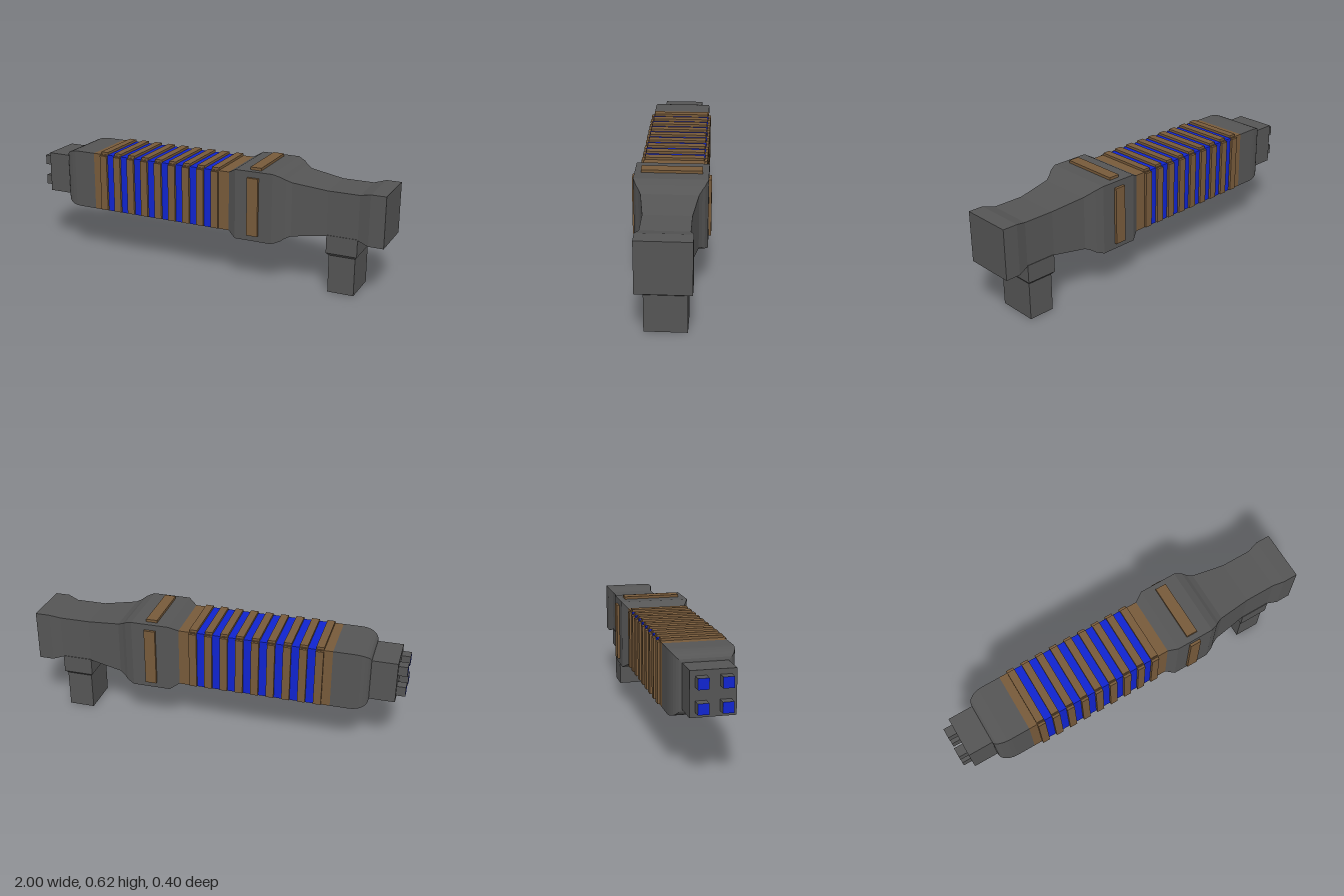
import * as THREE from 'three';

const CY = 0.423; // height of the barrel axis
const mat = (color) => new THREE.MeshStandardMaterial({ color, flatShading: true });

// Rectangular tube along x through sections [x, halfHeight, halfWidth], capped at both ends
function loft(sections) {
  const rings = sections.map(([x, h, w = h]) => [[x, h, w], [x, -h, w], [x, -h, -w], [x, h, -w]]);
  const pos = [];
  const quad = (a, b, c, d) => pos.push(...a, ...b, ...c, ...a, ...c, ...d);
  for (let i = 0; i < rings.length - 1; i++) {
    const a = rings[i], b = rings[i + 1];
    for (let k = 0; k < 4; k++) {
      const n = (k + 1) % 4;
      quad(a[k], a[n], b[n], b[k]);
    }
  }
  const first = rings[0], last = rings[rings.length - 1];
  quad(first[3], first[2], first[1], first[0]);
  quad(...last);
  const geo = new THREE.BufferGeometry();
  geo.setAttribute('position', new THREE.Float32BufferAttribute(pos, 3));
  geo.computeVertexNormals();
  return geo;
}

export function createModel() {
  const model = new THREE.Group();
  const grey = mat(0x555555), brown = mat(0x775a3a), blue = mat(0x1024d0);

  const add = (name, geo, material, x = 0, y = CY, z = 0, parent = model) => {
    const mesh = new THREE.Mesh(geo, material);
    mesh.name = name;
    mesh.position.set(x, y, z);
    parent.add(mesh);
    return mesh;
  };
  const box = (x, y, z) => new THREE.BoxGeometry(x, y, z);

  // Raised strips on the top and both sides of the barrel
  const strips = (name, x, width, surface, out) => {
    const group = new THREE.Group();
    group.name = name;
    model.add(group);
    const t = out - surface + 0.02, c = out - t / 2;
    add('topStrip', box(width, t, 0.307), brown, x, CY + c, 0, group);
    for (const s of [-1, 1]) add('sideStrip', box(width, 0.307, t), brown, x, CY, s * c, group);
  };

  // Nozzle with four blue-tipped prongs
  add('nozzle', box(0.16, 0.22, 0.22), grey, -0.873);
  for (const sy of [-1, 1]) for (const sz of [-1, 1]) {
    add('prong', box(0.06, 0.053, 0.053), [grey, blue, grey, grey, grey, grey],
      -0.97, CY + sy * 0.058, sz * 0.058);
  }

  // Rounded shoulder
  const shoulder = [];
  for (let i = 0; i <= 6; i++) {
    const a = (i / 6) * Math.PI / 2;
    shoulder.push([-0.73 - 0.09 * Math.cos(a), 0.115 + 0.043 * Math.sin(a)]);
  }
  add('shoulder', loft([...shoulder, [-0.63, 0.158]]), grey);

  // Banded grip: brown ends, alternating brown ribs and blue gaps
  const H = 0.158, start = -0.585, pitch = 0.0832, rib = 0.041, count = 9;
  const band = (name, x0, x1, m) => add(name, loft([[x0, H], [x1, H]]), m);
  band('rearBand', -0.63, start, brown);
  for (let i = 0; i < count; i++) {
    const x = start + i * pitch;
    band('ribBase', x, x + rib, brown);
    strips('rib', x + rib / 2, rib, H, 0.171);
    if (i < count - 1) band('blueBand', x + rib, x + pitch, blue);
  }
  band('frontBand', start + (count - 1) * pitch + rib, 0.18, brown);

  // Swollen collar tapering to the flared end
  add('collar', loft([
    [0.18, 0.158], [0.227, 0.185], [0.43, 0.185], [0.47, 0.17], [0.49, 0.156],
    [0.52, 0.142], [0.7, 0.118], [0.863, 0.118], [0.922, 0.134], [1, 0.134],
  ]), grey);
  strips('collarPatch', 0.327, 0.06, 0.185, 0.199);

  // Stepped handle below the flared end
  const handle = loft([
    [0, 0.069, 0.106], [0.2, 0.069, 0.106], [0.215, 0.081, 0.121], [0.31, 0.081, 0.121],
  ]).rotateZ(Math.PI / 2);
  add('handle', handle, grey, 0.782, 0);

  return model;
}
